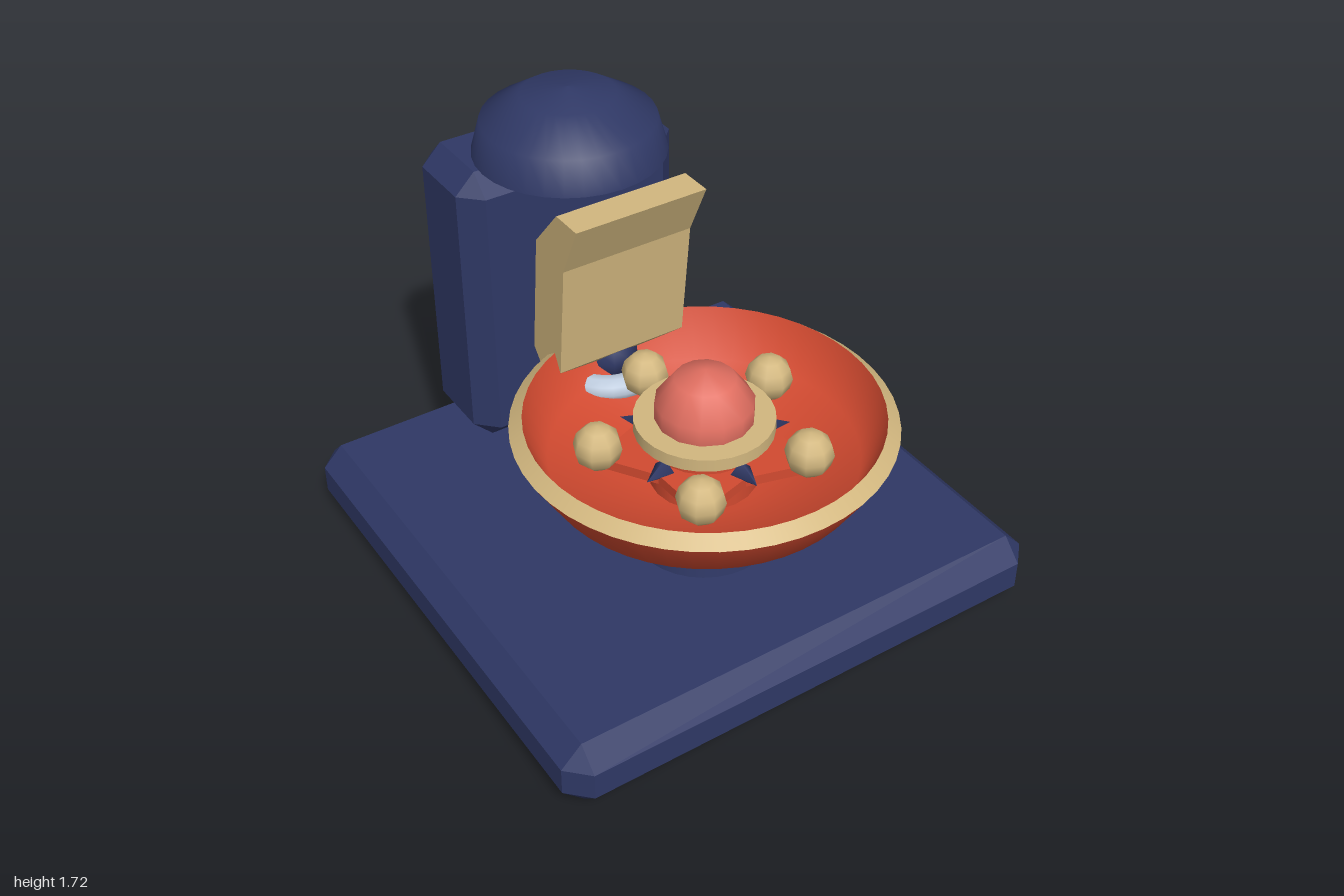
import * as THREE from 'three';
import { ConvexGeometry } from 'three/addons/geometries/ConvexGeometry.js';

const mat = (name, color, extra = {}) => new THREE.MeshStandardMaterial({ name, color, ...extra });

// Box with every edge cut off at 45 degrees
function chamferBox(w, h, d, c) {
  const pts = [];
  for (const sx of [-1, 1]) for (const sy of [-1, 1]) for (const sz of [-1, 1]) {
    for (let full = 0; full < 3; full++) {
      const inset = [c, c, c];
      inset[full] = 0;
      pts.push(new THREE.Vector3(sx * (w / 2 - inset[0]), sy * (h / 2 - inset[1]), sz * (d / 2 - inset[2])));
    }
  }
  return new ConvexGeometry(pts);
}

const lathe = (pts, segments) => new THREE.LatheGeometry(pts.map(p => new THREE.Vector2(...p)), segments);

export function createModel() {
  const root = new THREE.Group();
  root.name = 'model';

  const blue = mat('navy blue', 0x2f3865, { side: THREE.DoubleSide });
  const tan = mat('tan', 0xd2b77f);
  const red = mat('red', 0xd24a30);
  const coral = mat('coral', 0xe06e60);
  const steel = mat('pale steel', 0xbccadc);

  function add(parent, name, geometry, material, x = 0, y = 0, z = 0) {
    const mesh = new THREE.Mesh(geometry, material);
    mesh.name = name;
    mesh.position.set(x, y, z);
    parent.add(mesh);
    return mesh;
  }

  // Base slab, rear column and its domed cap
  add(root, 'base', chamferBox(2, 0.27, 2, 0.08), blue, 0, 0.135, 0);
  add(root, 'column', chamferBox(0.92, 1.2, 0.42, 0.08), blue, 0, 0.87, -0.79);
  add(root, 'domeCap', lathe([[0.363, 0], [0.327, 0.13], [0.177, 0.225], [0, 0.25]], 32), blue, 0, 1.47, -0.625);

  // Backrest: bent side profile extruded across x
  const profile = [[-0.13, 1.45], [-0.265, 1.45], [-0.42, 1.27], [-0.475, 0.77],
    [-0.4, 0.68], [-0.33, 0.71], [-0.28, 0.76], [-0.23, 1.235]];
  const backShape = new THREE.Shape(profile.map(([z, y]) => new THREE.Vector2(-z, y)));
  const backGeo = new THREE.ExtrudeGeometry(backShape, { depth: 0.54, bevelEnabled: false });
  backGeo.translate(0, 0, -0.27).rotateY(Math.PI / 2);
  add(root, 'backrest', backGeo, tan);

  // Spring of stacked rings with a joint on top
  const spring = new THREE.Group();
  spring.name = 'spring';
  spring.position.set(0, 0, -0.39);
  root.add(spring);
  for (let i = 0; i < 4; i++) {
    const ring = new THREE.TorusGeometry(0.165, 0.052, 10, 28);
    ring.rotateX(Math.PI / 2);
    add(spring, 'springRing', ring, steel, 0, 0.327 + i * 0.102, 0);
  }
  add(spring, 'springJoint', new THREE.SphereGeometry(0.12, 10, 6), blue, 0, 0.7, 0);

  // Bowl on its pedestal
  const bowl = new THREE.Group();
  bowl.name = 'bowl';
  bowl.position.z = 0.27;
  root.add(bowl);
  add(bowl, 'pedestal', new THREE.CylinderGeometry(0.233, 0.267, 0.24, 32), blue, 0, 0.385, 0);
  add(bowl, 'bowlOuter', lathe([[0, 0.5], [0.23, 0.5], [0.595, 0.62], [0.697, 0.79]], 48), red);
  add(bowl, 'bowlRim', lathe([[0.697, 0.79], [0.648, 0.83]], 48), tan);
  add(bowl, 'bowlInner', lathe([[0.648, 0.83], [0.565, 0.645], [0.22, 0.535], [0, 0.53]], 48), red);

  // Hub: stem, collar and rounded button
  add(bowl, 'hubStem', new THREE.CylinderGeometry(0.2, 0.2, 0.25, 20), red, 0, 0.65, 0);
  add(bowl, 'hubCollar', new THREE.CylinderGeometry(0.256, 0.256, 0.05, 28), tan, 0, 0.785, 0);
  add(bowl, 'hubButton', new THREE.SphereGeometry(0.19, 14, 5), coral, 0, 0.82, 0);

  // Five-pointed plate carrying the knobs, with a spike in each valley
  const polar = (a, r) => [Math.sin(a) * r, Math.cos(a) * r];
  const star = new THREE.Shape();
  for (let i = 0; i < 10; i++) {
    const [x, y] = polar(i * Math.PI / 5, i % 2 ? 0.26 : 0.4);
    if (i) star.lineTo(x, y); else star.moveTo(x, y);
  }
  star.closePath();
  const starGeo = new THREE.ExtrudeGeometry(star, { depth: 0.04, bevelEnabled: false });
  starGeo.rotateX(-Math.PI / 2);
  add(bowl, 'starPlate', starGeo, red, 0, 0.66, 0);

  for (let i = 0; i < 5; i++) {
    const a = i * Math.PI * 2 / 5;
    const [kx, kz] = polar(a, 0.392);
    add(bowl, 'knob', new THREE.SphereGeometry(0.09, 8, 6), tan, kx, 0.75, -kz);

    const b = a + Math.PI / 5;
    const [sx, sz] = polar(b, 0.275);
    const cone = new THREE.ConeGeometry(0.042, 0.1, 4);
    cone.rotateX(-Math.PI / 2);
    add(bowl, 'spike', cone, blue, sx, 0.71, -sz).rotation.y = -b;
  }

  return root;
}
